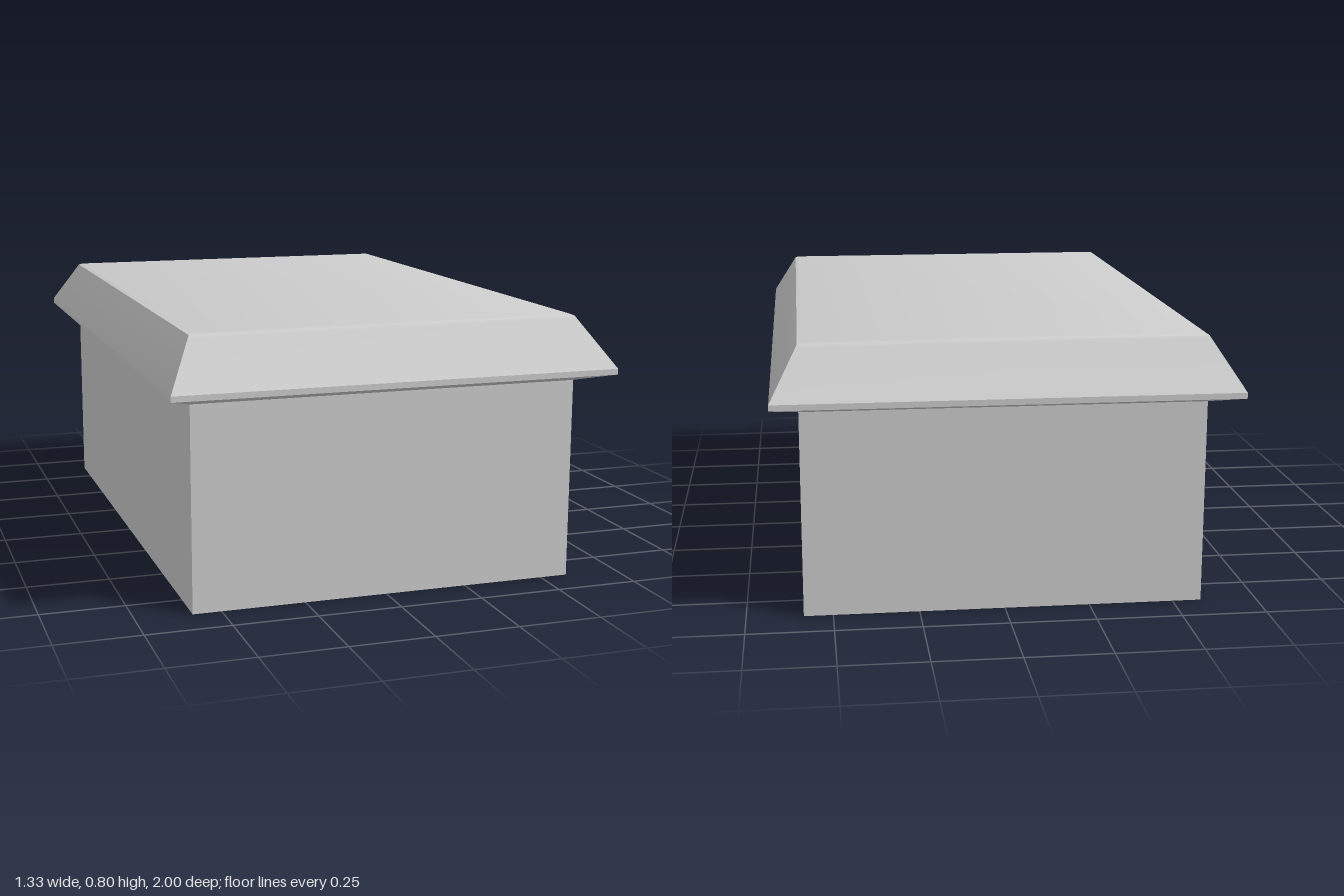
import * as THREE from 'three';
import { toCreasedNormals } from 'three/addons/utils/BufferGeometryUtils.js';

const HX = 0.585, HZ = 0.88, WALL = 0.605, DEPTH = 0.03;

// Geometry from a list of four-cornered faces, counter-clockwise from outside
function quads(faces) {
  const pos = [];
  for (const [a, b, c, d] of faces) pos.push(...a, ...b, ...c, ...a, ...c, ...d);
  const geo = new THREE.BufferGeometry();
  geo.setAttribute('position', new THREE.Float32BufferAttribute(pos, 3));
  geo.computeVertexNormals();
  return geo;
}

// Corners of a horizontal rectangle, in order around the y axis
const ring = ([x, z, y]) => [[x, y, z], [x, y, -z], [-x, y, -z], [-x, y, z]];

export function createModel() {
  const group = new THREE.Group();
  const grey = new THREE.MeshStandardMaterial({ color: 0xcccccc, side: THREE.DoubleSide });
  grey.name = 'light grey';
  const add = (name, geo) => {
    const mesh = new THREE.Mesh(geo, grey);
    mesh.name = name;
    group.add(mesh);
  };

  // Plain walls: back, left-over side and front of the open-bottomed shell
  const low = ring([HX, HZ, 0]), high = ring([HX, HZ, WALL]);
  ['backWall', 'plainSideWall', 'frontWall'].forEach((name, k) => {
    const i = k + 1, j = (i + 1) % 4;
    add(name, quads([[low[i], low[j], high[j], high[i]]]));
  });

  // Side wall with a door and two window openings: [z min, z max, y min, y max]
  const openings = {
    frontWindow: [0.25, 0.83, 0.095, 0.525],
    door: [-0.21, 0.21, 0, 0.525],
    backWindow: [-0.83, -0.25, 0.095, 0.525],
  };
  const [d0, d1, , dTop] = openings.door;
  const wall = new THREE.Shape([
    [-HZ, 0], [d0, 0], [d0, dTop], [d1, dTop], [d1, 0], [HZ, 0], [HZ, WALL], [-HZ, WALL],
  ].map(p => new THREE.Vector2(...p)));
  for (const name of ['frontWindow', 'backWindow']) {
    const [z0, z1, y0, y1] = openings[name];
    wall.holes.push(new THREE.Path([
      [-z1, y0], [-z1, y1], [-z0, y1], [-z0, y0],
    ].map(p => new THREE.Vector2(...p))));
  }
  add('doorSideWall', new THREE.ShapeGeometry(wall).rotateY(Math.PI / 2).translate(HX, 0, 0));

  // Recessed panel and its four reveals for each opening
  for (const [name, [z0, z1, y0, y1]] of Object.entries(openings)) {
    const rect = x => [[x, y0, z1], [x, y0, z0], [x, y1, z0], [x, y1, z1]];
    const inner = rect(HX - DEPTH), outer = rect(HX);
    const faces = [inner];
    for (let i = 0; i < 4; i++) {
      const j = (i + 1) % 4;
      faces.push([outer[i], outer[j], inner[j], inner[i]]);
    }
    add(name, quads(faces));
  }

  // Roof shell: soffit, fascia, slope, rounded crest and flat top
  const levels = [
    [HX, HZ, WALL], [0.665, 1, 0.638], [0.665, 1, 0.655],
    [0.589, 0.884, 0.788], [0.584, 0.877, 0.797], [0.573, 0.862, 0.802],
  ].map(ring);
  const roof = [levels[levels.length - 1]];
  for (let k = 0; k < levels.length - 1; k++) {
    for (let i = 0; i < 4; i++) {
      const j = (i + 1) % 4;
      roof.push([levels[k][i], levels[k][j], levels[k + 1][j], levels[k + 1][i]]);
    }
  }
  add('roof', toCreasedNormals(quads(roof), 0.6));

  return group;
}
